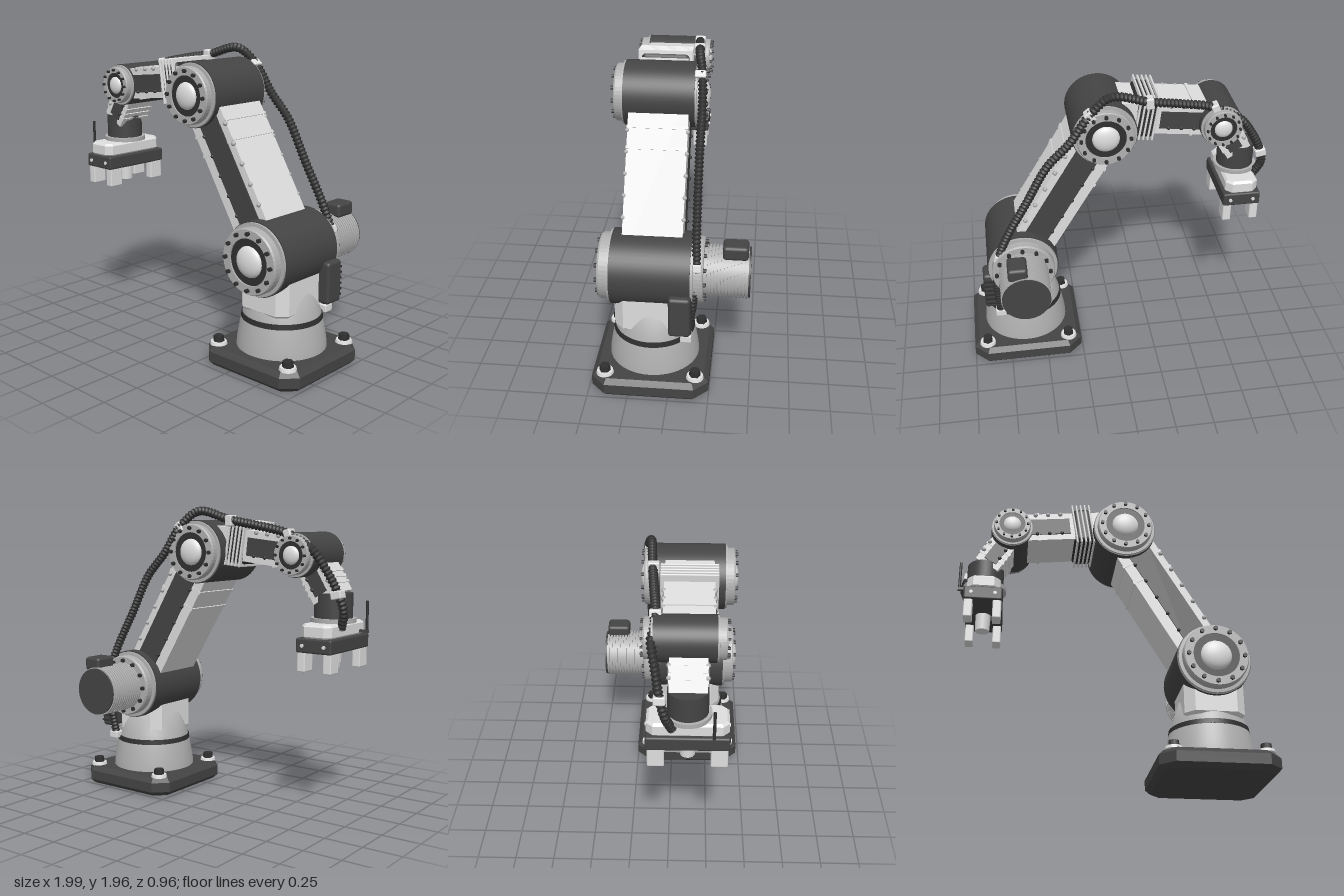
import * as THREE from 'three';
import { RoundedBoxGeometry } from 'three/addons/geometries/RoundedBoxGeometry.js';

const paint = (name, color) => Object.assign(new THREE.MeshStandardMaterial({ color }), { name });

export function createModel() {
  const robot = new THREE.Group();
  robot.name = 'robotArm';
  const white = paint('light shell', 0xdedede);
  const steel = paint('steel', 0xb0b0b0);
  const dark = paint('dark housing', 0x444444);
  const black = paint('black rubber', 0x303030);
  const Z = 0.12; // plane of the arm

  const add = (parent, name, geo, mat, x = 0, y = 0, z = 0) => {
    const m = new THREE.Mesh(geo, mat);
    m.name = name;
    m.position.set(x, y, z);
    parent.add(m);
    return m;
  };
  const box = (w, h, d) => new THREE.BoxGeometry(w, h, d);
  const round = (w, h, d, r = 0.02) => new RoundedBoxGeometry(w, h, d, 2, r);
  const cyl = (r1, r2, h, n = 32) => new THREE.CylinderGeometry(r1, r2, h, n);
  const group = (name, x, y, z) => {
    const g = new THREE.Group();
    g.name = name;
    g.position.set(x, y, z);
    robot.add(g);
    return g;
  };
  // Block with cut corners and bevelled top and bottom, rising from y = 0
  const chamferBlock = (w, h, d, c, b) => {
    const x = w / 2 - b, z = d / 2 - b;
    const s = new THREE.Shape([[-x + c, -z], [x - c, -z], [x, -z + c], [x, z - c],
      [x - c, z], [-x + c, z], [-x, z - c], [-x, -z + c]].map(p => new THREE.Vector2(...p)));
    return new THREE.ExtrudeGeometry(s, { depth: h - 2 * b, bevelEnabled: true, bevelSize: b,
      bevelThickness: b, bevelSegments: 1 }).rotateX(-Math.PI / 2).translate(0, b, 0);
  };

  // Base plate with anchor bolts
  const base = group('base', 0.63, 0, 0.115);
  add(base, 'basePlate', chamferBlock(0.74, 0.125, 0.73, 0.07, 0.03), dark);
  for (const sx of [-1, 1]) for (const sz of [-1, 1]) {
    add(base, 'anchorWasher', cyl(0.05, 0.055, 0.02, 24), white, sx * 0.28, 0.133, sz * 0.28);
    add(base, 'anchorBolt', cyl(0.033, 0.036, 0.04, 6), black, sx * 0.28, 0.16, sz * 0.28);
  }

  // Turret column, seal ring and shoulder yoke
  const profile = [[0.285, 0.12], [0.28, 0.18], [0.255, 0.32], [0.235, 0.38], [0.185, 0.53], [0, 0.53]];
  add(base, 'turretColumn', new THREE.LatheGeometry(profile.map(p => new THREE.Vector2(...p)), 48), steel);
  add(base, 'turretSeal', cyl(0.253, 0.257, 0.032, 48), black, 0, 0.328, 0);
  add(base, 'shoulderYoke', chamferBlock(0.38, 0.24, 0.42, 0.05, 0.015), white, 0.005, 0.385, 0.02);
  add(base, 'controlBox', round(0.09, 0.27, 0.135), dark, 0.225, 0.545, -0.18);
  for (let i = 0; i < 6; i++) add(base, 'controlBoxRib', box(0.08, 0.012, 0.012), black, 0.225, 0.45 + i * 0.036, -0.25);

  // Joint cap: bolted ring, dark inset and dome, facing +z
  const jointCap = (parent, R, h, z, side) => {
    const cap = new THREE.Group();
    cap.name = 'jointCap';
    cap.position.z = z;
    if (side < 0) cap.rotation.y = Math.PI;
    parent.add(cap);
    const ring = [[0.97 * R, 0], [0.97 * R, 0.2 * h], [0.88 * R, 0.22 * h], [0.88 * R, 0.85 * h],
      [0.85 * R, h], [0.62 * R, h], [0.62 * R, 0.7 * h]];
    const lathe = new THREE.LatheGeometry(ring.map(p => new THREE.Vector2(...p)), 48).toNonIndexed();
    lathe.computeVertexNormals();
    add(cap, 'capRing', lathe.rotateX(Math.PI / 2), steel);
    add(cap, 'capInset', cyl(0.63 * R, 0.63 * R, 0.85 * h, 40).rotateX(Math.PI / 2), black, 0, 0, 0.425 * h);
    const dome = new THREE.SphereGeometry(0.42 * R, 28, 10, 0, Math.PI * 2, 0, Math.PI / 2);
    add(cap, 'capDome', dome.scale(1, 0.45, 1).rotateX(Math.PI / 2), white, 0, 0, 0.8 * h);
    for (let i = 0; i < 12; i++) {
      const a = (i / 12) * Math.PI * 2;
      add(cap, 'capBolt', cyl(0.06 * R, 0.06 * R, 0.02, 6).rotateX(Math.PI / 2), black,
        Math.cos(a) * 0.75 * R, Math.sin(a) * 0.75 * R, h + 0.008);
    }
  };
  const joint = (name, x, y, R, z0, z1, h) => {
    const g = group(name, x, y, 0);
    add(g, 'jointDrum', cyl(R, R, z1 - z0, 56).rotateX(Math.PI / 2), dark, 0, 0, (z0 + z1) / 2);
    jointCap(g, R, h, z1, 1);
    jointCap(g, R, h, z0, -1);
    return g;
  };
  const shoulder = joint('shoulderJoint', 0.63, 0.735, 0.235, -0.125, 0.365, 0.075);
  joint('elbowJoint', 0.075, 1.665, 0.205, -0.1, 0.34, 0.06);
  joint('wristJoint', -0.665, 1.66, 0.137, -0.08, 0.28, 0.055);

  // Finned drive motor behind the shoulder
  add(shoulder, 'motorCore', cyl(0.148, 0.148, 0.31, 40).rotateX(Math.PI / 2), steel, 0, 0, -0.32);
  for (let i = 0; i < 13; i++) {
    add(shoulder, 'motorFin', cyl(0.162, 0.162, 0.013, 40).rotateX(Math.PI / 2), steel, 0, 0, -0.215 - i * 0.0205);
  }
  add(shoulder, 'motorEndCap', cyl(0.155, 0.155, 0.012, 40).rotateX(Math.PI / 2), dark, 0, 0, -0.477);
  add(shoulder, 'motorTerminalBox', round(0.125, 0.09, 0.155), dark, 0.045, 0.18, -0.39);

  // Arm link between two points: shell, dark side panels, rivets and raised bands
  const link = (name, a, b, w, d, p0, p1, y0, y1, rivets, bands) => {
    const g = group(name, a[0], a[1], Z);
    const dx = b[0] - a[0], dy = b[1] - a[1], len = Math.hypot(dx, dy);
    g.rotation.z = Math.atan2(dy, dx) - Math.PI / 2;
    add(g, 'linkShell', box(w, len, d), white, 0, len / 2, 0);
    for (const s of [-1, 1]) {
      add(g, 'sidePanel', box(p1 - p0, y1 - y0, 0.008), dark, (p0 + p1) / 2, (y0 + y1) / 2, s * (d / 2 + 0.003));
      for (let i = 0; i < rivets; i++) {
        const y = y0 + ((i + 0.7) / (rivets + 0.4)) * (y1 - y0);
        add(g, 'panelBolt', new THREE.SphereGeometry(0.012, 8, 6), black, p0 + 0.004, y, s * (d / 2 + 0.006));
        add(g, 'shellRivet', new THREE.SphereGeometry(0.015, 10, 8), steel, w / 2 - 0.008, y, s * (d / 2));
      }
    }
    for (const y of bands) add(g, 'shellBand', box(w + 0.014, 0.018, d + 0.006), white, 0, y, 0);
    return g;
  };
  link('upperArm', [0.63, 0.735], [0.075, 1.665], 0.28, 0.37, -0.07, 0.09, 0.2, 0.92, 5, [0.72, 0.85]);
  const forearm = link('forearm', [0.075, 1.745], [-0.665, 1.665], 0.2, 0.3, -0.06, 0.055, 0.36, 0.64, 3, [0.57]);
  link('wristLink', [-0.665, 1.66], [-0.82, 1.4], 0.17, 0.22, -0.05, 0.04, 0.1, 0.27, 2, [0.16, 0.2, 0.24]);

  // Bellows collar on the forearm
  add(forearm, 'bellowsCore', round(0.265, 0.14, 0.33, 0.04), black, 0, 0.27, 0);
  for (let i = 0; i < 5; i++) {
    const ring = add(forearm, 'bellowsRing', round(0.29, 0.013, 0.35, 0.006), white, 0.005, 0.215 + i * 0.028, 0);
    ring.rotation.z = 0.05;
  }

  // Tool head
  const tool = group('toolHead', -0.825, 0, Z);
  add(tool, 'toolMotor', cyl(0.12, 0.12, 0.16), dark, 0, 1.35, 0);
  add(tool, 'toolFlange', cyl(0.14, 0.14, 0.028, 40), steel, 0, 1.262, 0);
  add(tool, 'gripperCover', chamferBlock(0.21, 0.09, 0.48, 0.03, 0.015), white, 0, 1.16, 0);
  add(tool, 'gripperBody', round(0.245, 0.09, 0.49, 0.012), dark, 0, 1.12, 0);
  add(tool, 'toolNozzle', cyl(0.05, 0.045, 0.12, 28), white, 0, 1.025, 0);
  for (const sx of [-1, 1]) for (const sz of [-1, 1]) {
    add(tool, 'gripperFinger', round(0.055, 0.13, 0.1, 0.008), white, sx * 0.09, 1.02, sz * 0.185);
    add(tool, 'gripperScrew', cyl(0.012, 0.012, 0.012, 8).rotateX(Math.PI / 2), white, sx * 0.075, 1.12, sz * 0.247);
  }
  add(tool, 'sensorBracket', box(0.06, 0.018, 0.02), dark, -0.135, 1.185, 0.15);
  add(tool, 'sensorRod', cyl(0.009, 0.009, 0.19, 10), black, -0.155, 1.28, 0.15);

  // Corrugated cable along the back of the arm
  const path = [[0.8, 0.35, -0.1], [0.81, 0.6, -0.14], [0.79, 0.82, -0.16], [0.73, 0.98, -0.155],
    [0.58, 1.25, -0.15], [0.44, 1.5, -0.15], [0.3, 1.65, -0.15], [0.17, 1.83, -0.14], [0.04, 1.925, -0.115],
    [-0.2, 1.87, -0.1], [-0.4, 1.835, -0.085], [-0.6, 1.79, -0.07], [-0.77, 1.71, -0.09],
    [-0.87, 1.58, -0.065], [-0.94, 1.44, -0.04], [-0.965, 1.33, -0.01], [-0.93, 1.22, 0.03]];
  const curve = new THREE.CatmullRomCurve3(path.map(p => new THREE.Vector3(...p)));
  const rings = 520, sides = 10;
  const tube = new THREE.TubeGeometry(curve, rings, 0.029, sides, false);
  const pos = tube.attributes.position, v = new THREE.Vector3();
  for (let i = 0; i <= rings; i++) {
    const c = curve.getPointAt(i / rings);
    const k = i % 4 < 2 ? 1 : 0.78;
    for (let j = 0; j <= sides; j++) {
      const n = i * (sides + 1) + j;
      v.fromBufferAttribute(pos, n).sub(c).multiplyScalar(k).add(c);
      pos.setXYZ(n, v.x, v.y, v.z);
    }
  }
  tube.computeVertexNormals();
  add(robot, 'cable', tube, black);

  // Cable clamps
  for (const [x, y, z, a] of [[0.8, 0.35, -0.1, 0], [0.78, 0.84, -0.155, 0.3], [0.17, 1.82, -0.13, 0.9],
    [-0.2, 1.865, -0.095, 1.5], [-0.62, 1.78, -0.07, 1.2], [-0.94, 1.43, -0.04, -0.2]]) {
    add(robot, 'cableClamp', round(0.07, 0.05, 0.07, 0.008), white, x, y, z).rotation.z = a;
  }
  return robot;
}
